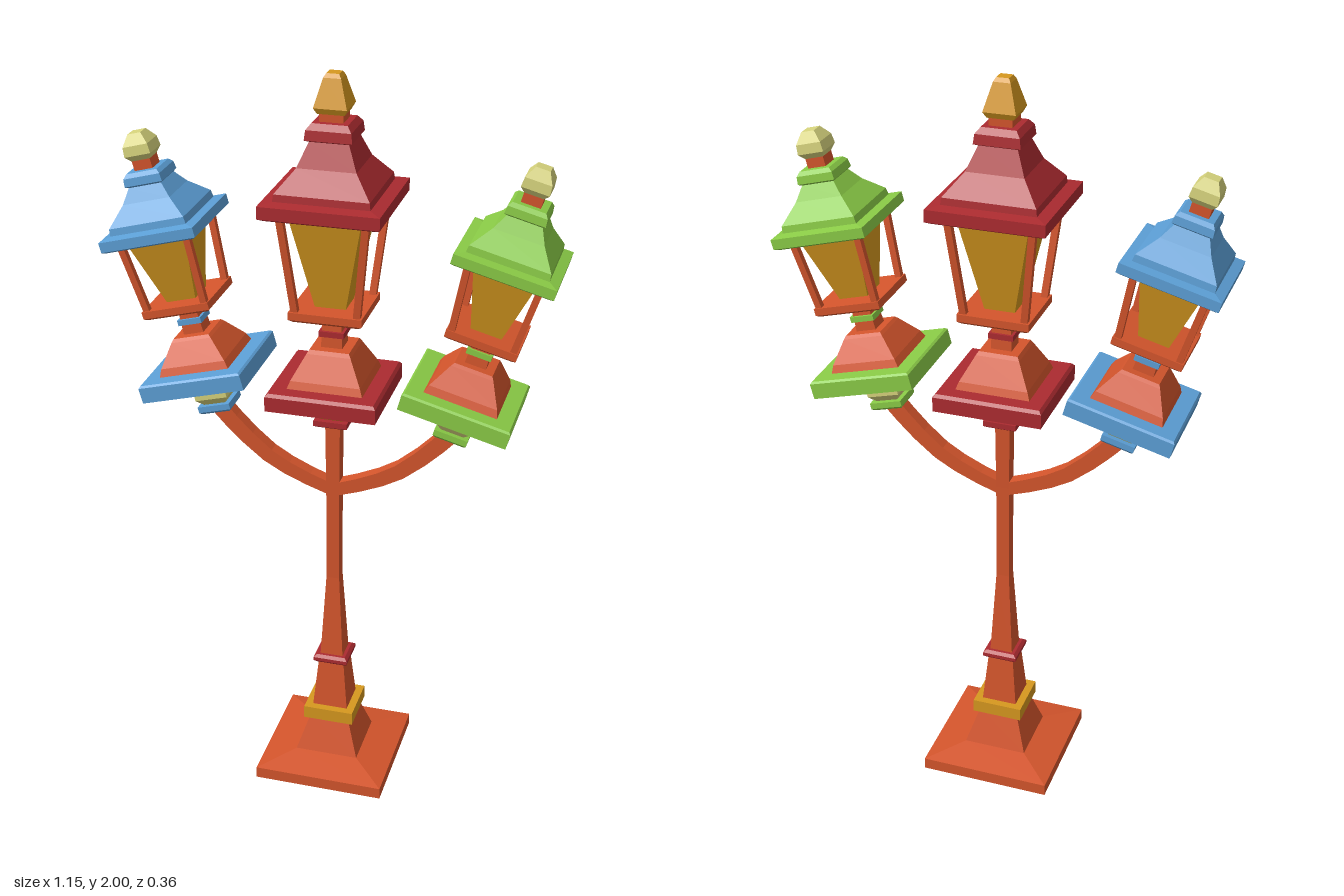
import * as THREE from 'three';

const paint = (name, color) => {
  const m = new THREE.MeshStandardMaterial({ color });
  m.name = name;
  return m;
};

// Square turned part: profile of [half width, height], bottom to top, flat faces
function square(name, material, profile) {
  const pts = profile.map(([h, y]) => new THREE.Vector2(h * Math.SQRT2, y));
  const geo = new THREE.LatheGeometry(pts, 4, Math.PI / 4).toNonIndexed();
  geo.computeVertexNormals();
  const mesh = new THREE.Mesh(geo, material);
  mesh.name = name;
  return mesh;
}

// Same, closed at both ends
const solid = (name, material, p) =>
  square(name, material, [[0, p[0][1]], ...p, [0, p[p.length - 1][1]]]);

// Four slanted corner posts from half spacing a at y0 to b at y1
function cornerPosts(material, a, y0, b, y1, thick) {
  const group = new THREE.Group();
  group.name = 'cornerPosts';
  for (const sx of [-1, 1]) for (const sz of [-1, 1]) {
    const geo = new THREE.BoxGeometry(thick, y1 - y0, thick);
    const pos = geo.attributes.position;
    for (let i = 0; i < pos.count; i++) {
      const d = pos.getY(i) > 0 ? b : a;
      pos.setX(i, pos.getX(i) + sx * d);
      pos.setZ(i, pos.getZ(i) + sz * d);
    }
    geo.translate(0, (y0 + y1) / 2, 0);
    geo.computeVertexNormals();
    const post = new THREE.Mesh(geo, material);
    post.name = 'cornerPost';
    group.add(post);
  }
  return group;
}

export function createModel() {
  const orange = paint('orange', 0xd4552c);
  const red = paint('red', 0xac2b30);
  const gold = paint('gold', 0xd6981f);
  const blue = paint('blue', 0x5c9fd6);
  const green = paint('green', 0x8acb46);
  const pale = paint('paleYellow', 0xd6d37c);

  const model = new THREE.Group();
  model.name = 'streetLamp';

  // Foot, hollow underneath
  model.add(square('foot', orange, [
    [0.05, 0.15], [0.085, 0.04], [0.155, 0.025], [0.165, 0], [0.18, 0],
    [0.18, 0.033], [0.088, 0.053], [0.055, 0.155], [0, 0.155],
  ]));
  // Pole and its rings
  model.add(
    solid('goldCollar', gold, [[0.07, 0.153], [0.07, 0.19]]),
    solid('lowerPole', orange, [[0.05, 0.18], [0.035, 0.34]]),
    solid('poleRing', red, [[0.04, 0.33], [0.048, 0.338], [0.048, 0.348], [0.04, 0.355]]),
    solid('upperPole', orange, [[0.032, 0.35], [0.018, 0.6], [0.018, 0.88], [0.02, 1.08]]),
  );

  // Central lantern
  const centre = new THREE.Group();
  centre.name = 'centralLantern';
  centre.add(
    solid('lowerRing', red, [[0.038, 1.07], [0.045, 1.075], [0.045, 1.09]]),
    solid('neck', gold, [[0.028, 1.088], [0.045, 1.105], [0.045, 1.13], [0.03, 1.152]]),
    solid('plate', red, [[0.145, 1.152], [0.145, 1.192], [0.138, 1.2]]),
    solid('pedestal', orange, [[0.1, 1.198], [0.092, 1.22], [0.058, 1.285], [0.052, 1.295],
      [0.028, 1.295], [0.025, 1.37], [0.045, 1.385]]),
    solid('pedestalRing', red, [[0.033, 1.325], [0.033, 1.34]]),
    solid('lanternFloor', orange, [[0.085, 1.382], [0.095, 1.39], [0.095, 1.41]]),
    solid('glass', gold, [[0.04, 1.408], [0.095, 1.672]]),
    cornerPosts(orange, 0.08, 1.405, 0.11, 1.675, 0.018),
    solid('roof', red, [[0.14, 1.663], [0.153, 1.67], [0.153, 1.702], [0.122, 1.707], [0.12, 1.725],
      [0.075, 1.78], [0.05, 1.84], [0.06, 1.845], [0.057, 1.87], [0.045, 1.885]]),
    solid('finialNeck', orange, [[0.03, 1.88], [0.03, 1.91]]),
    solid('finial', gold, [[0.034, 1.905], [0.042, 1.92], [0.022, 1.99], [0.016, 2]]),
  );
  model.add(centre);

  // Leaning side lanterns and their curved arms
  const armPath = new THREE.CatmullRomCurve3([
    [0, 0.875], [0.1, 0.912], [0.18, 0.955], [0.26, 1.025], [0.318, 1.088],
  ].map(([x, y]) => new THREE.Vector3(x, y, 0)));

  for (const [side, colour, label] of [[1, green, 'left'], [-1, blue, 'right']]) {
    const lantern = new THREE.Group();
    lantern.name = label + 'Lantern';
    lantern.position.set(side * 0.344, 1.187, 0);
    lantern.rotation.z = -side * THREE.MathUtils.degToRad(15);
    lantern.add(
      solid('lowerRing', colour, [[0.04, -0.116], [0.045, -0.11], [0.045, -0.094]]),
      solid('neck', pale, [[0.03, -0.095], [0.045, -0.075], [0.045, -0.05], [0.03, -0.02]]),
      solid('plate', colour, [[0.143, -0.022], [0.143, 0.02], [0.138, 0.025]]),
      solid('pedestal', orange, [[0.098, 0.023], [0.09, 0.045], [0.056, 0.1], [0.05, 0.108],
        [0.028, 0.108], [0.025, 0.17], [0.045, 0.185]]),
      solid('pedestalRing', colour, [[0.033, 0.135], [0.033, 0.15]]),
      solid('lanternFloor', orange, [[0.085, 0.182], [0.093, 0.188], [0.093, 0.207]]),
      solid('glass', gold, [[0.04, 0.205], [0.082, 0.395]]),
      cornerPosts(orange, 0.08, 0.2, 0.092, 0.397, 0.017),
      solid('roof', colour, [[0.122, 0.386], [0.13, 0.391], [0.13, 0.417], [0.105, 0.422],
        [0.103, 0.44], [0.065, 0.485], [0.045, 0.52], [0.052, 0.525], [0.05, 0.545], [0.042, 0.555]]),
      solid('finialNeck', orange, [[0.025, 0.55], [0.025, 0.582]]),
      solid('finial', pale, [[0.022, 0.576], [0.036, 0.595], [0.034, 0.62], [0.018, 0.647]]),
    );

    // Arm outline offset to both sides of its path, then given depth
    const upper = [], lower = [];
    for (let i = 0; i <= 6; i++) {
      const p = armPath.getPoint(i / 6), t = armPath.getTangent(i / 6);
      const w = 0.018 + 0.005 * (i / 6);
      upper.push(new THREE.Vector2(side * (p.x - t.y * w), p.y + t.x * w));
      lower.push(new THREE.Vector2(side * (p.x + t.y * w), p.y - t.x * w));
    }
    const outline = new THREE.Shape([...lower, ...upper.reverse()]);
    const armGeo = new THREE.ExtrudeGeometry(outline, { depth: 0.036, bevelEnabled: false });
    armGeo.translate(0, 0, -0.018);
    const arm = new THREE.Mesh(armGeo, orange);
    arm.name = label + 'Arm';
    model.add(arm, lantern);
  }
  return model;
}
